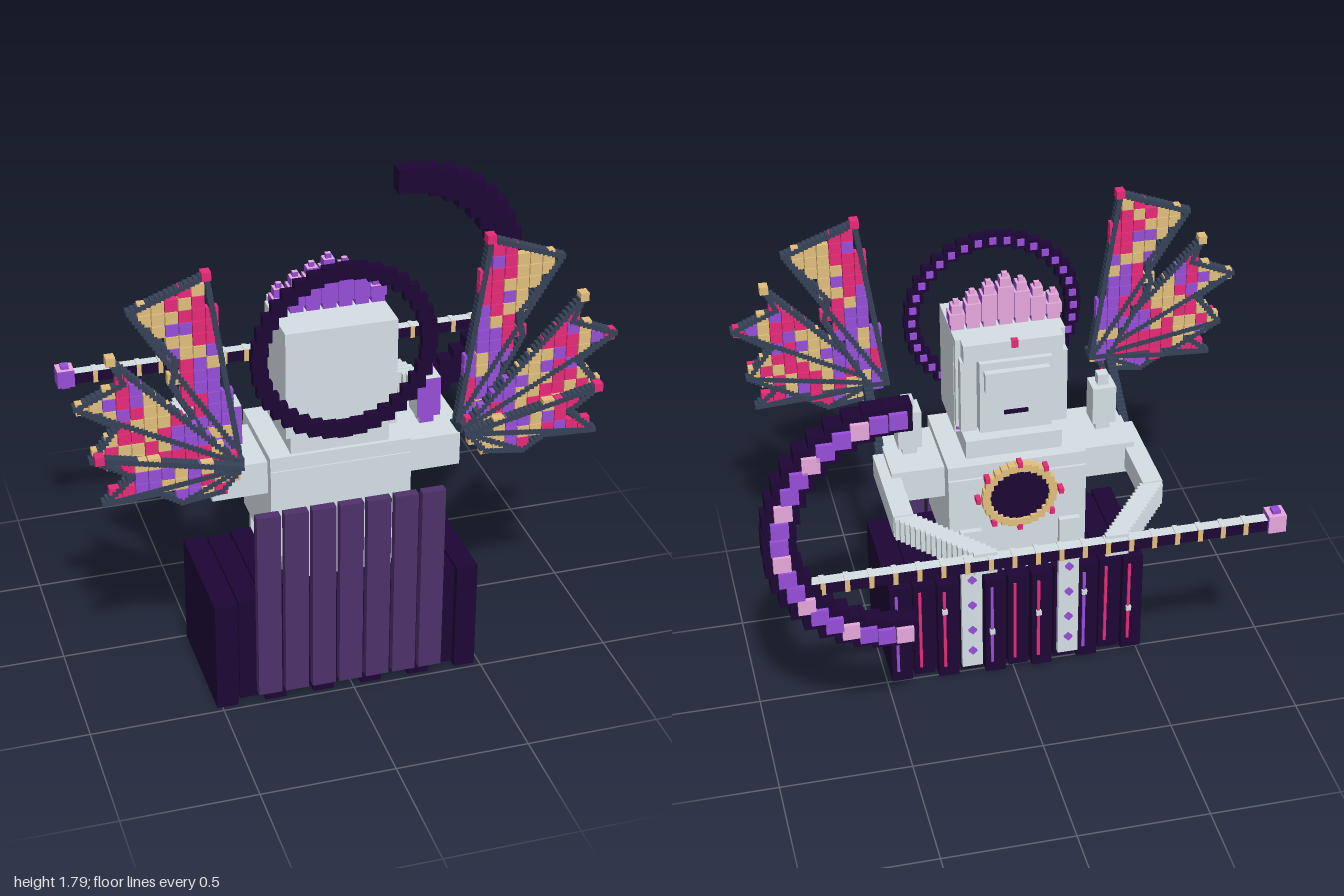
import * as THREE from 'three';
import { mergeGeometries } from 'three/addons/utils/BufferGeometryUtils.js';

const mat = (name, color) => {
  const m = new THREE.MeshStandardMaterial({ color });
  m.name = name;
  return m;
};
const grey = mat('pale grey', 0xd5dfe4), dark = mat('dark violet', 0x1c0634), cloth = mat('cape violet', 0x4d3169),
  purple = mat('purple', 0x974fd8), pink = mat('pink', 0xe6a8dc), magenta = mat('magenta', 0xe82a78),
  gold = mat('gold', 0xe2bf7c), slate = mat('slate', 0x364258);

const CX = -0.02; // symmetry plane of the figure

export function createModel() {
  const root = new THREE.Group();
  root.name = 'wingedFigure';

  const group = (name) => {
    const g = new THREE.Group();
    g.name = name;
    root.add(g);
    return g;
  };
  // box given by its extents on each axis
  const box = (parent, name, m, x0, x1, y0, y1, z0, z1) => {
    const mesh = new THREE.Mesh(new THREE.BoxGeometry(x1 - x0, y1 - y0, z1 - z0), m);
    mesh.position.set((x0 + x1) / 2, (y0 + y1) / 2, (z0 + z1) / 2);
    mesh.name = name;
    parent.add(mesh);
    return mesh;
  };
  // box centred on a point in x and y
  const block = (parent, name, m, x, y, w, h, z0, z1) =>
    box(parent, name, m, x - w / 2, x + w / 2, y - h / 2, y + h / 2, z0, z1);

  // robe: pleated slabs, bowed forward in the middle, with trim and studs
  const robe = group('robe');
  for (let i = 0; i < 11; i++) {
    const x = CX + (i - 5) * 0.092, odd = i % 2;
    const z = -0.03 * (1 - Math.abs(i - 5) / 5) + (odd ? 0.012 : 0);
    box(robe, 'robePanel', dark, x - 0.04, x + 0.04, odd ? 0.013 : 0, 0.44, z, odd ? 0.46 : 0.48);
    box(robe, 'robeTrim', i % 4 < 2 ? magenta : purple, x + 0.01, x + 0.021, 0.05, 0.41, z - 0.008, z + 0.002);
    if (!odd) block(robe, 'robeStud', grey, x + 0.015, 0.2 + (i % 3) * 0.06, 0.02, 0.02, z - 0.014, z);
  }
  box(robe, 'robeCore', dark, -0.5, 0.46, 0.02, 0.425, 0.03, 0.45);

  // cape hanging behind
  const cape = group('cape');
  for (let i = 0; i < 7; i++) {
    const x = CX + 0.002 + (i - 3) * 0.1025;
    box(cape, 'capePanel', cloth, x - 0.044, x + 0.044, 0.052, 0.815, 0.48, 0.515);
  }

  // trunk
  const torso = group('torso');
  box(torso, 'waist', grey, -0.22, 0.18, 0.43, 0.56, 0.05, 0.37);
  box(torso, 'chest', grey, -0.28, 0.245, 0.555, 0.91, -0.01, 0.38);
  box(torso, 'collar', grey, -0.28, 0.245, 0.91, 0.965, 0.0, 0.375);
  box(torso, 'neck', grey, -0.2, 0.165, 0.965, 1.04, 0.05, 0.36);

  // straps with studs
  for (const s of [-1, 1]) {
    const x = CX + s * 0.19;
    box(torso, 'strap', grey, x - 0.04, x + 0.04, 0.06, 0.7, -0.048, -0.025);
    for (const y of [0.14, 0.24, 0.36, 0.48, 0.575]) {
      const stud = block(torso, 'strapStud', purple, x, y, 0.024, 0.024, -0.06, -0.045);
      stud.rotation.z = Math.PI / 4;
    }
  }

  // round chest emblem
  const emblem = group('chestEmblem');
  const disc = new THREE.Mesh(new THREE.CylinderGeometry(0.13, 0.13, 0.02, 16), dark);
  disc.rotation.x = Math.PI / 2;
  disc.position.set(CX, 0.83, -0.018);
  disc.name = 'emblemDisc';
  emblem.add(disc);
  for (let i = 0; i < 28; i++) {
    const a = i / 28 * Math.PI * 2, c = Math.cos(a), s = Math.sin(a);
    block(emblem, 'emblemRim', gold, CX + c * 0.128, 0.83 + s * 0.122, 0.03, 0.03, -0.04, -0.005);
    if (i % 7 === 0 || i % 7 === 3)
      block(emblem, 'emblemRay', magenta, CX + c * 0.158, 0.83 + s * 0.14, 0.018, 0.022, -0.046, -0.01);
  }

  // head, visor and face
  const head = group('head');
  box(head, 'hood', grey, -0.22, 0.19, 1.035, 1.45, 0.135, 0.37);
  box(head, 'hoodSeam', purple, -0.214, 0.184, 1.05, 1.41, 0.125, 0.135);
  box(head, 'hoodFront', grey, -0.22, 0.19, 1.08, 1.41, 0.1, 0.125);
  box(head, 'hoodTop', grey, -0.22, 0.19, 1.41, 1.45, 0.1, 0.135);
  box(head, 'hoodBrow', grey, -0.2, 0.17, 1.38, 1.45, 0.05, 0.1);
  box(head, 'face', grey, -0.155, 0.115, 1.085, 1.38, 0.03, 0.1);
  for (const s of [-1, 1]) box(head, 'cheek', grey, CX + s * 0.17 - 0.03, CX + s * 0.17 + 0.03, 1.08, 1.38, 0.06, 0.1);
  box(head, 'visor', grey, -0.14, 0.1, 1.27, 1.35, 0.005, 0.03);
  box(head, 'mouth', dark, -0.065, 0.025, 1.157, 1.173, 0.024, 0.031);
  box(head, 'browGem', magenta, -0.032, -0.008, 1.425, 1.455, 0.042, 0.065);

  // crest of stepped plumes, pale on the upper and face sides
  const plumeFaces = [purple, purple, pink, purple, purple, pink];
  for (let i = -3; i <= 3; i++) {
    const x = CX + 0.005 + i * 0.06, top = 1.655 - [0, 0.025, 0.055, 0.09][Math.abs(i)];
    box(head, 'plumeBase', plumeFaces, x - 0.024, x + 0.024, 1.45, 1.475, 0.17, 0.22);
    box(head, 'plume', plumeFaces, x - 0.029, x + 0.029, 1.475, top - 0.05, 0.167, 0.224);
    box(head, 'plumeMid', plumeFaces, x - 0.02, x + 0.02, top - 0.05, top - 0.018, 0.175, 0.215);
    box(head, 'plumeTip', plumeFaces, x - 0.01, x + 0.01, top - 0.018, top, 0.186, 0.204);
  }

  // halo ring
  const halo = group('halo');
  for (let i = 0; i < 36; i++) {
    const a = i / 36 * Math.PI * 2, x = -0.015 + Math.cos(a) * 0.309, y = 1.373 + Math.sin(a) * 0.309;
    block(halo, 'haloBlock', dark, x, y, 0.056, 0.056, 0.382, 0.416);
    block(halo, 'haloLining', purple, x, y, 0.026, 0.026, 0.374, 0.384);
  }

  // shoulders, spikes and arms
  const spikeFaces = [grey, grey, grey, grey, purple, grey];
  for (const s of [-1, 1]) {
    const arm = group(s > 0 ? 'leftArm' : 'rightArm');
    const part = (name, m, x0, x1, ...r) => s > 0
      ? box(arm, name, m, CX + x0, CX + x1, ...r) : box(arm, name, m, CX - x1, CX - x0, ...r);
    part('shoulder', grey, 0.25, 0.465, 0.805, 0.935, 0.06, 0.34);
    part('spikeBase', spikeFaces, 0.345, 0.4, 0.935, 0.975, 0.178, 0.232);
    part('spike', spikeFaces, 0.328, 0.418, 0.97, 1.125, 0.16, 0.25);
    part('spikeTip', spikeFaces, 0.352, 0.394, 1.125, 1.17, 0.185, 0.225);
    part('upperArm', grey, 0.43, 0.505, 0.825, 0.915, -0.18, 0.23);
    for (let i = 0; i < 16; i++) {
      const t = (i + 0.5) / 16, x = 0.467 - t * 0.235, y = 0.865 + t * 0.04, z = -0.175 - t * 0.34;
      part('forearm', grey, x - 0.042, x + 0.042, y - 0.044, y + 0.044, z - 0.013, z + 0.013);
    }
  }

  // scythe: staff with bands, knob and crescent blade
  const scythe = group('scythe');
  box(scythe, 'staff', [dark, dark, grey, dark, dark, dark], -0.82, 0.9, 0.89, 0.935, -0.54, -0.495);
  for (let x = -0.73; x < 0.86; x += 0.085)
    box(scythe, 'staffBand', [gold, gold, grey, gold, gold, gold], x - 0.009, x + 0.009, 0.887, 0.938, -0.543, -0.492);
  box(scythe, 'knob', [purple, purple, pink, purple, purple, pink], -0.878, -0.812, 0.885, 0.955, -0.552, -0.484);
  box(scythe, 'knobCore', purple, -0.86, -0.83, 0.872, 0.968, -0.535, -0.5);
  const N = 20;
  for (let i = 0; i <= N; i++) {
    const t = i / N * 2 - 1, a = t * Math.PI / 2, w = 0.115 - 0.015 * t * t;
    const x = 0.52 + Math.cos(a) * 0.4225, y = 1.12 + Math.sin(a) * 0.45;
    block(scythe, 'bladeBlock', dark, x, y, w, w, -0.545, -0.477);
    block(scythe, 'bladeRidge', i % 3 ? purple : pink, x, y, 0.062, 0.062, -0.56, -0.54);
  }

  // wings: three fans at stepped depths (x measured outward); seeds are [x, y, colour] patches
  const fans = [
    { z: 0.471, tips: [1, 2], gem: magenta,
      pts: [[0.4, 1.08], [0.5, 1.77], [0.765, 1.67], [0.61, 1.47], [0.63, 1.38], [0.47, 1.08]],
      seeds: [[0.53, 1.7, 0], [0.7, 1.65, 1], [0.52, 1.58, 0], [0.6, 1.55, 1], [0.58, 1.42, 0], [0.48, 1.42, 2], [0.46, 1.25, 2]] },
    { z: 0.506, tips: [1, 3, 5], gem: gold,
      pts: [[0.41, 1.06], [0.84, 1.52], [0.8, 1.43], [0.965, 1.36], [0.83, 1.27], [0.92, 1.15], [0.7, 1.03]],
      seeds: [[0.9, 1.36, 1], [0.76, 1.37, 0], [0.68, 1.27, 1], [0.56, 1.2, 2], [0.78, 1.24, 0], [0.85, 1.17, 1], [0.6, 1.1, 0]] },
    { z: 0.542, tips: [1, 3, 5], gem: magenta,
      pts: [[0.41, 1.06], [0.9, 1.17], [0.79, 1.09], [0.89, 1.0], [0.7, 1.01], [0.62, 0.96], [0.48, 0.98]],
      seeds: [[0.8, 1.13, 0], [0.66, 1.08, 1], [0.74, 1.04, 2], [0.84, 1.02, 0], [0.6, 1.0, 2], [0.5, 1.03, 1]] },
  ];
  const inside = (pts, x, y) => {
    let hit = false;
    for (let i = 0, j = pts.length - 1; i < pts.length; j = i++) {
      const [ax, ay] = pts[i], [bx, by] = pts[j];
      if ((ay > y) !== (by > y) && x < (bx - ax) * (y - ay) / (by - ay) + ax) hit = !hit;
    }
    return hit;
  };
  const hash = (a, b, c) => {
    const v = Math.sin(a * 12.99 + b * 78.23 + c * 37.72) * 43758.55;
    return v - Math.floor(v);
  };
  const patchAt = (seeds, x, y) => seeds.reduce((best, p) =>
    Math.hypot(p[0] - x, p[1] - y) < Math.hypot(best[0] - x, best[1] - y) ? p : best)[2];
  const colours = [magenta, gold, purple], C = 0.046;
  for (const s of [-1, 1]) {
    const wing = group(s > 0 ? 'leftWing' : 'rightWing');
    const merged = (name, list, m) => {
      const mesh = new THREE.Mesh(mergeGeometries(list), m);
      mesh.name = name;
      wing.add(mesh);
    };
    // stepped chain of small blocks from a to b
    const chain = (a, b, w, h, d) => {
      const from = new THREE.Vector3(...a), to = new THREE.Vector3(...b);
      const n = Math.ceil(from.distanceTo(to) / 0.018);
      return Array.from({ length: n + 1 }, (_, i) => {
        const p = from.clone().lerp(to, i / n);
        return new THREE.BoxGeometry(w, h, d).translate(p.x, p.y, p.z);
      });
    };
    fans.forEach(({ z, pts, tips, gem, seeds }, f) => {
      const cells = [[], [], []];
      for (let i = 8; i < 23; i++) for (let j = 20; j < 40; j++) {
        const x = (i + 0.5) * C, y = (j + 0.5) * C;
        if (!inside(pts, x, y)) continue;
        const k = hash(i, j, f + s) < 0.7 ? patchAt(seeds, x, y) : Math.floor(hash(j, i, f * 5 + s) * 3);
        cells[k].push(new THREE.BoxGeometry(C - 0.003, C - 0.003, 0.03).translate(CX + s * x, y, z));
      }
      cells.forEach((list, k) => list.length && merged('wingPatchwork', list, colours[k]));
      const at = ([x, y]) => [CX + s * x, y, z];
      const ribs = pts.flatMap((p, i) => chain(at(p), at(pts[(i + 1) % pts.length]), 0.019, 0.019, 0.036));
      tips.slice(1).forEach((i) => ribs.push(...chain(at(pts[0]), at(pts[i]), 0.019, 0.019, 0.036)));
      merged('wingRibs', ribs, slate);
      const [tx, ty] = pts[tips[0]];
      block(wing, 'wingTip', gem, CX + s * tx, ty, 0.032, 0.032, z - 0.019, z + 0.019);
    });
    // strut from shoulder to wing root
    const ex = CX + s * 0.475;
    merged('wingStrut', [
      ...chain([ex, 0.91, 0.25], [ex, 1.06, 0.47], 0.034, 0.045, 0.03),
      ...chain([ex, 1.06, 0.48], [CX + s * 0.41, 1.07, 0.52], 0.03, 0.03, 0.03),
    ], slate);
  }
  return root;
}
